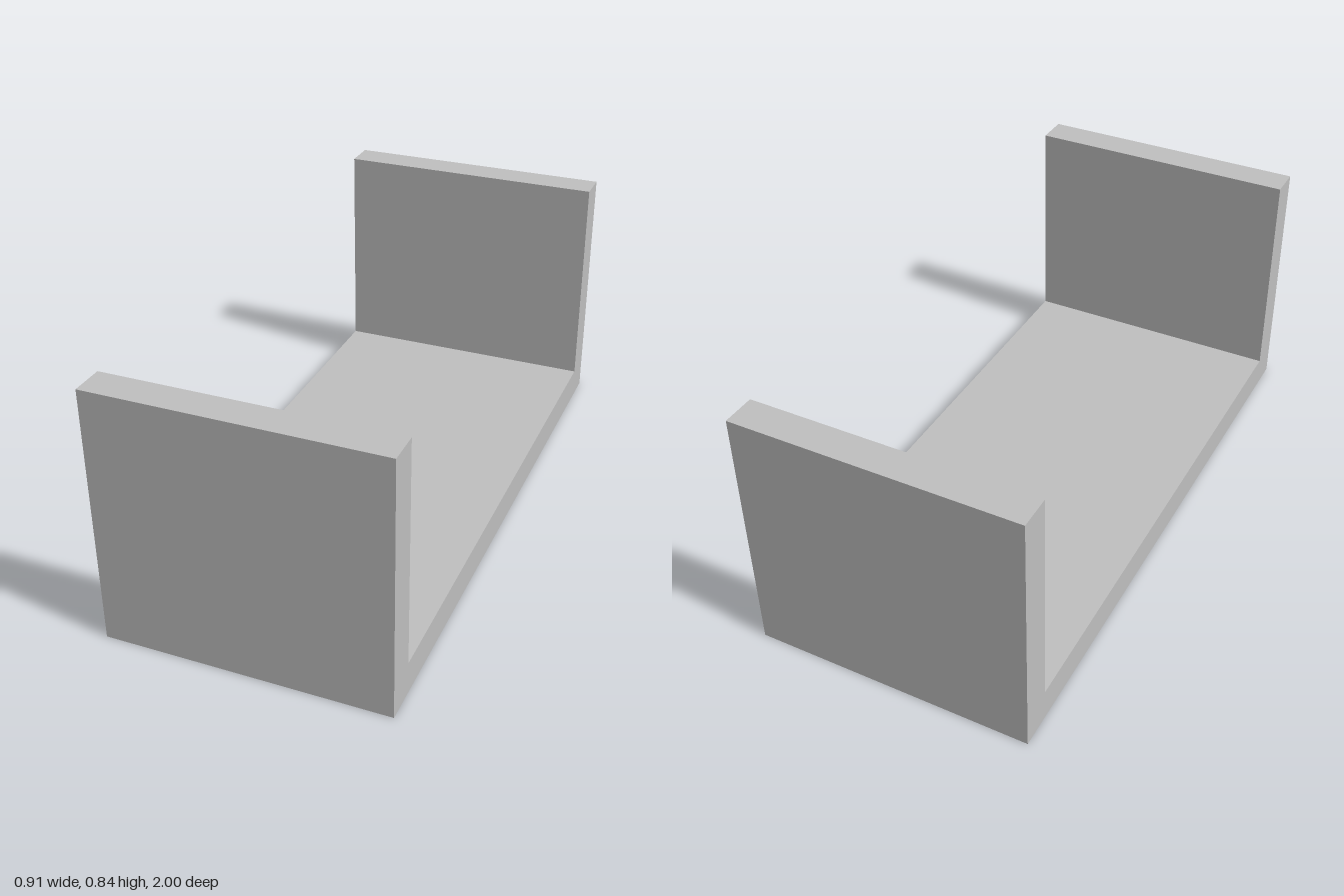
import * as THREE from 'three';
import { mergeGeometries } from 'three/addons/utils/BufferGeometryUtils.js';

const WIDTH = 0.906, LENGTH = 2, HEIGHT = 0.836, THICK = 0.107;
const HOLE = { radius: 0.058, depth: 0.085, x: 0.165, z: 0.446 };

// U-shaped profile swept across the width, with its underside left open
function channelGeometry() {
  const e = LENGTH / 2, i = e - THICK;
  const profile = new THREE.Shape([
    [-e, 0], [e, 0], [e, HEIGHT], [i, HEIGHT],
    [i, THICK], [-i, THICK], [-i, HEIGHT], [-e, HEIGHT],
  ].map(([x, y]) => new THREE.Vector2(x, y)));
  const geo = new THREE.ExtrudeGeometry(profile, { depth: WIDTH, bevelEnabled: false });
  geo.translate(0, 0, -WIDTH / 2).rotateY(Math.PI / 2);

  const pos = geo.attributes.position, keep = [];
  for (let t = 0; t < pos.count; t += 3) {
    const underside = [0, 1, 2].every((k) => pos.getY(t + k) < 1e-5);
    if (!underside) keep.push(t, t + 1, t + 2);
  }
  geo.clearGroups();
  geo.setIndex(keep);
  return geo.toNonIndexed();
}

// Underside face pierced by the screw holes
function undersideGeometry(centres) {
  const w = WIDTH / 2, l = LENGTH / 2;
  const shape = new THREE.Shape([
    new THREE.Vector2(-w, -l), new THREE.Vector2(w, -l),
    new THREE.Vector2(w, l), new THREE.Vector2(-w, l),
  ]);
  for (const [x, z] of centres) {
    shape.holes.push(new THREE.Path().absarc(x, z, HOLE.radius, 0, Math.PI * 2, true));
  }
  return new THREE.ShapeGeometry(shape, 24).rotateX(Math.PI / 2).toNonIndexed();
}

// Blind hole: inward-facing wall and a flat end
function holeGeometry(x, z) {
  const { radius, depth } = HOLE;
  const wall = new THREE.LatheGeometry(
    [new THREE.Vector2(radius, depth), new THREE.Vector2(radius, 0)], 48);
  const end = new THREE.CircleGeometry(radius, 48).rotateX(Math.PI / 2).translate(0, depth, 0);
  return mergeGeometries([wall.toNonIndexed(), end.toNonIndexed()]).translate(x, 0, z);
}

export function createModel() {
  const grey = new THREE.MeshStandardMaterial({ color: 0xbfbfbf });
  grey.name = 'light grey';

  const centres = [];
  for (const sx of [-1, 1]) for (const sz of [-1, 1]) centres.push([sx * HOLE.x, sz * HOLE.z]);

  const bracket = new THREE.Mesh(
    mergeGeometries([channelGeometry(), undersideGeometry(centres)]), grey);
  bracket.name = 'channelBracket';

  const holes = new THREE.Mesh(
    mergeGeometries(centres.map(([x, z]) => holeGeometry(x, z))), grey);
  holes.name = 'screwHoles';

  const model = new THREE.Group();
  model.name = 'uBracket';
  model.add(bracket, holes);
  return model;
}
